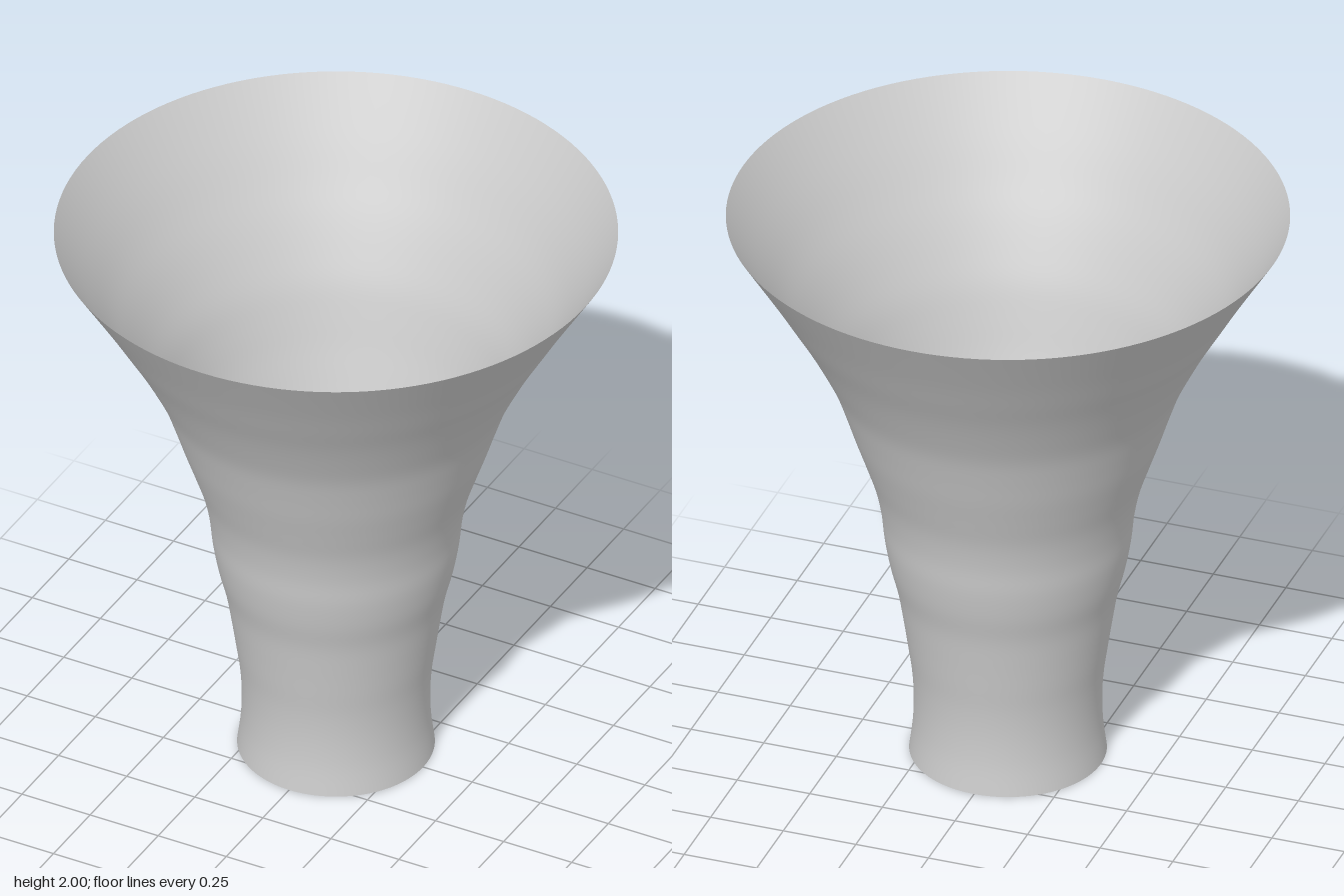
import * as THREE from 'three';

export function createModel() {
  const model = new THREE.Group();
  model.name = 'flaredVase';

  // Wall profile from the foot to the rim: [radius, height]
  const profile = new THREE.SplineCurve([
    [0.32, 0], [0.308, 0.1], [0.305, 0.2], [0.311, 0.3], [0.325, 0.4],
    [0.34, 0.5], [0.357, 0.6], [0.382, 0.7], [0.4, 0.8], [0.411, 0.9],
    [0.432, 1.0], [0.465, 1.1], [0.5, 1.2], [0.533, 1.3], [0.569, 1.4],
    [0.617, 1.5], [0.67, 1.6], [0.729, 1.7], [0.788, 1.8], [0.85, 1.9], [0.913, 2],
  ].map(([r, y]) => new THREE.Vector2(r, y)));

  // Thin open wall, with no floor and no lid
  const wall = new THREE.Mesh(
    new THREE.LatheGeometry(profile.getPoints(80), 128),
    new THREE.MeshStandardMaterial({ color: 0xcccccc, side: THREE.DoubleSide }),
  );
  wall.name = 'wall';
  model.add(wall);

  return model;
}
